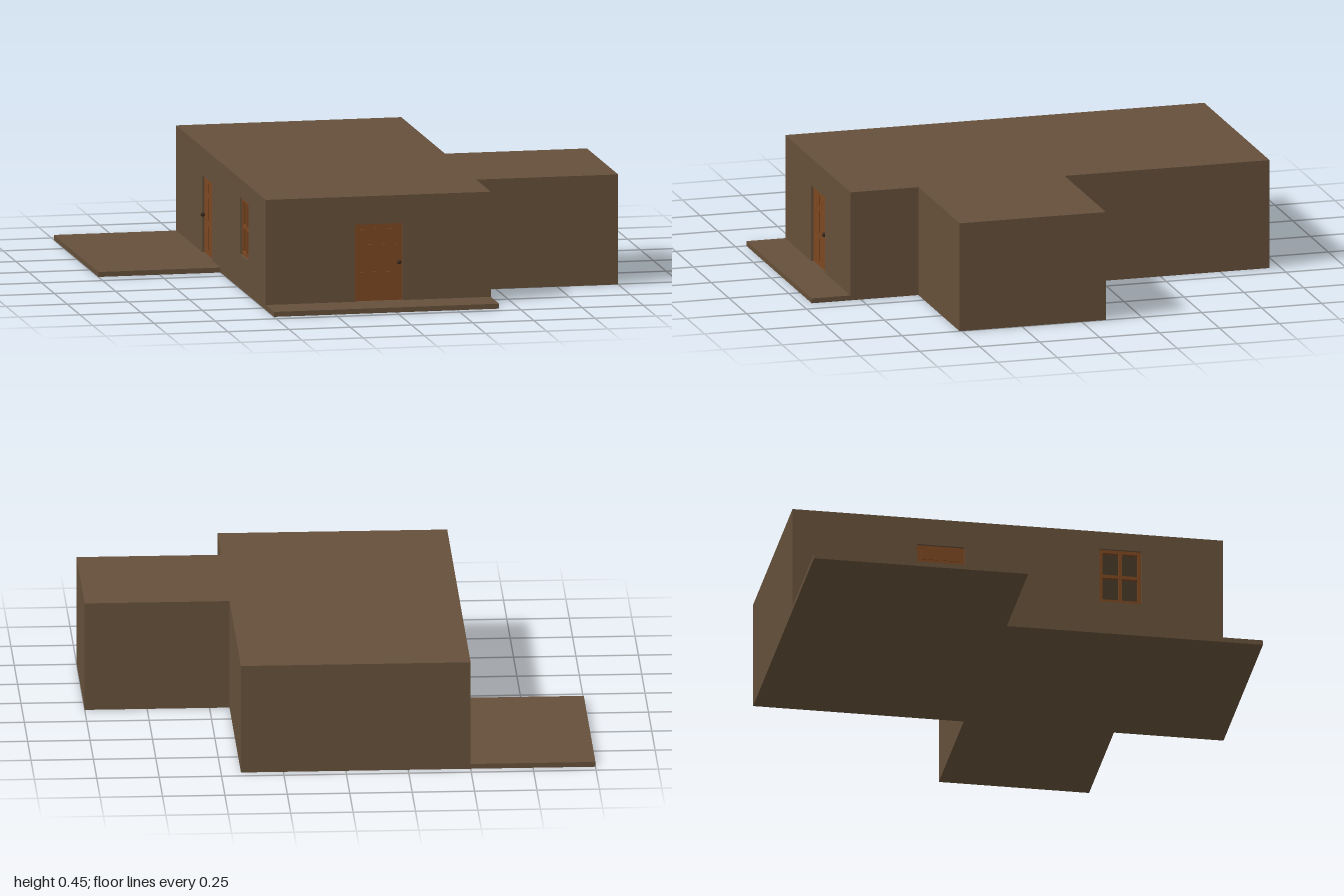
import * as THREE from 'three';

const HEIGHT = 0.447, SLAB = 0.02, WALL = 0.03;

const material = (name, color, extra = {}) => {
  const m = new THREE.MeshStandardMaterial({ color, ...extra });
  m.name = name;
  return m;
};

export function createModel() {
  const brown = material('brown plaster', 0x65503a);
  const wood = material('door wood', 0x7c4721);
  const dark = material('dark metal', 0x3a2a1e);
  const house = new THREE.Group();
  house.name = 'house';

  const add = (parent, name, geometry, mat, x = 0, y = 0, z = 0) => {
    const mesh = new THREE.Mesh(geometry, mat);
    mesh.name = name;
    mesh.position.set(x, y, z);
    parent.add(mesh);
    return mesh;
  };
  const box = (parent, name, mat, w, h, d, x, y, z) =>
    add(parent, name, new THREE.BoxGeometry(w, h, d), mat, x, y, z);
  const rect = (Type, u0, u1, y0, y1) =>
    new Type([[u0, y0], [u1, y0], [u1, y1], [u0, y1]].map(p => new THREE.Vector2(...p)));

  // Flat slab from a plan outline of [x, z] points
  const slab = (name, plan, y, depth) => {
    const shape = new THREE.Shape(plan.map(([x, z]) => new THREE.Vector2(x, -z)));
    const geometry = new THREE.ExtrudeGeometry(shape, { depth, bevelEnabled: false });
    add(house, name, geometry.rotateX(-Math.PI / 2), brown, 0, y, 0);
  };

  // Floor with the front porch and the side terrace in one outline
  slab('floorAndPorches', [
    [-1, -0.955], [0.42, -0.955], [0.42, -0.1], [1, -0.1], [1, 0.51], [0.42, 0.51],
    [0.42, 0.955], [-0.5, 0.955], [-0.5, -0.085], [-1, -0.085],
  ], 0, SLAB);
  slab('roof', [
    [-0.5, -0.955], [0.42, -0.955], [0.42, -0.1], [1, -0.1], [1, 0.51], [0.42, 0.51],
    [0.42, 0.793], [-0.5, 0.793],
  ], HEIGHT - SLAB, SLAB);

  // Wall in its own frame: u runs right as seen from outside, z = 0 is the outer face
  const wall = (name, turn, plane, u0, u1, openings = []) => {
    const group = new THREE.Group();
    group.name = name;
    group.rotation.y = turn;
    group.position.set(Math.sin(turn) * plane, 0, Math.cos(turn) * plane);
    const shape = rect(THREE.Shape, u0, u1, SLAB / 2, HEIGHT - SLAB / 2);
    for (const o of openings) shape.holes.push(rect(THREE.Path, ...o));
    const geometry = new THREE.ExtrudeGeometry(shape, { depth: WALL, bevelEnabled: false });
    add(group, name + 'Panel', geometry, brown, 0, 0, -WALL);
    house.add(group);
    return group;
  };

  // Recessed door with raised panels and a knob
  const door = (parent, [u0, u1, y0, y1], knobSide) => {
    const w = u1 - u0, h = y1 - y0, u = (u0 + u1) / 2;
    const leaf = new THREE.Group();
    leaf.name = 'door';
    leaf.position.set(u, y0, 0);
    parent.add(leaf);
    box(leaf, 'doorLeaf', wood, w, h, 0.014, 0, h / 2, -0.017);
    for (const side of [-1, 1]) {
      for (const [y, ph] of [[0.07, 0.095], [0.185, 0.09], [0.272, 0.04]]) {
        box(leaf, 'doorPanel', wood, w * 0.34, ph, 0.004, side * w * 0.22, y, -0.009);
      }
    }
    const stem = new THREE.CylinderGeometry(0.004, 0.004, 0.012, 12).rotateX(Math.PI / 2);
    const x = knobSide * (w / 2 - 0.014);
    add(leaf, 'knobStem', stem, dark, x, 0.155, -0.006);
    add(leaf, 'knob', new THREE.SphereGeometry(0.009, 16, 10), dark, x, 0.155, 0);
  };

  // Window frame with a cross of glazing bars
  const windowFrame = (parent, [u0, u1, y0, y1]) => {
    const w = u1 - u0, h = y1 - y0, b = 0.014;
    const frame = new THREE.Group();
    frame.name = 'window';
    frame.position.set((u0 + u1) / 2, (y0 + y1) / 2, -0.016);
    parent.add(frame);
    for (const s of [-1, 0, 1]) {
      box(frame, 'windowUpright', wood, b, h, 0.016, s * (w - b) / 2, 0, 0);
      box(frame, 'windowRail', wood, w, b, 0.014, 0, s * (h - b) / 2, 0);
    }
  };

  const frontDoor = [-0.135, 0.06, SLAB, 0.333];
  const sideDoor = [-0.45, -0.255, SLAB, 0.333];
  const sideWindow = [0.292, 0.462, 0.14, 0.372];
  const quarter = Math.PI / 2;

  door(wall('frontWall', 0, 0.793, -0.5, 0.42, [frontDoor]), frontDoor, 1);
  const side = wall('terraceWall', -quarter, 0.5, -0.955, 0.793, [sideDoor, sideWindow]);
  door(side, sideDoor, -1);
  windowFrame(side, sideWindow);
  wall('backWall', Math.PI, 0.955, -0.42, 0.5);
  wall('rearSideWall', quarter, 0.42, 0.1, 0.955);
  wall('frontSideWall', quarter, 0.42, -0.793, -0.51);
  wall('wingFrontWall', 0, 0.51, 0.42, 1);
  wall('wingBackWall', Math.PI, 0.1, -1, -0.42);
  wall('wingEndWall', quarter, 1, -0.51, 0.1);

  return house;
}
